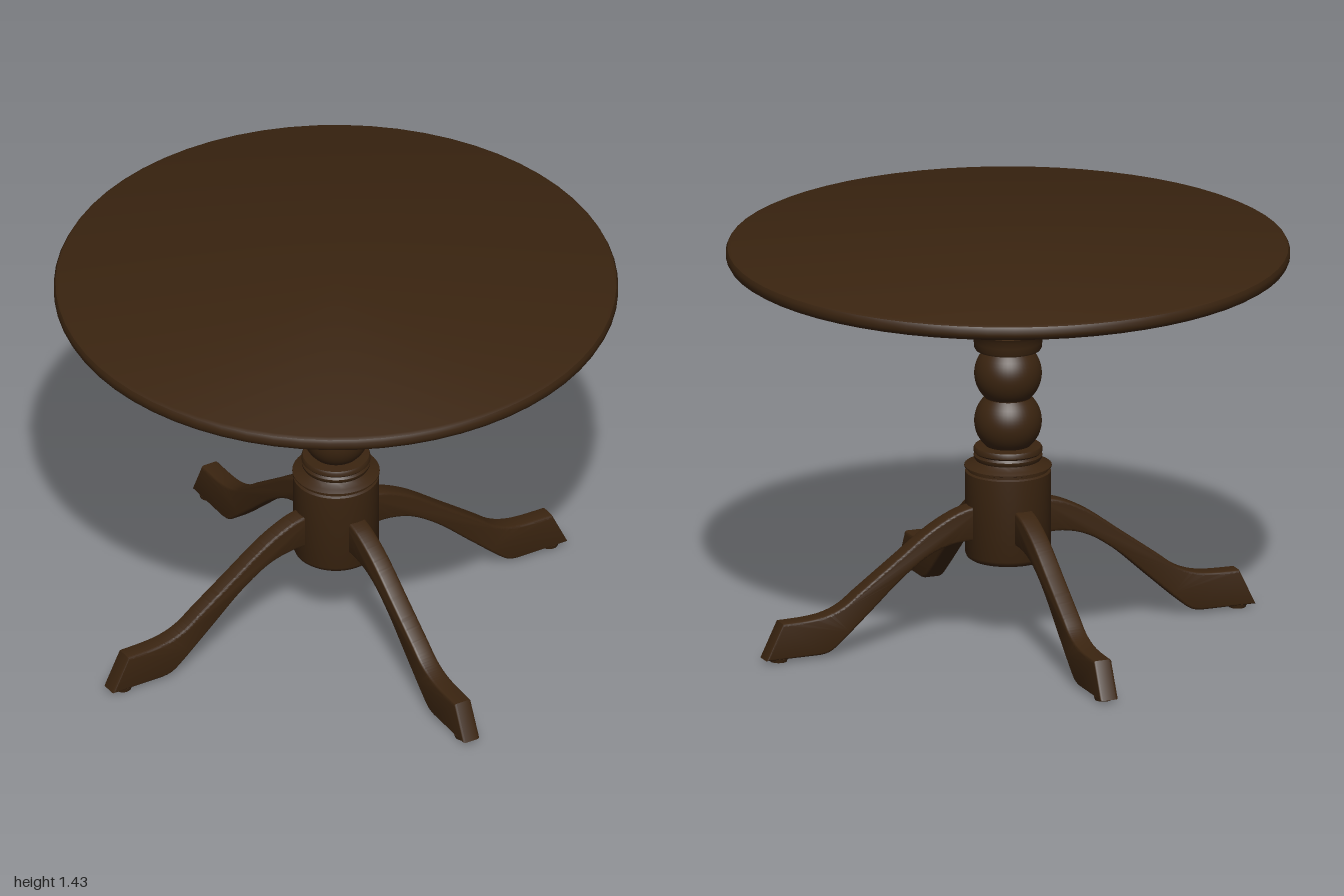
import * as THREE from 'three';
import { toCreasedNormals } from 'three/addons/utils/BufferGeometryUtils.js';

const wood = new THREE.MeshStandardMaterial({ color: 0x3a2410 });
wood.name = 'dark wood';

function lathe(name, points, segments) {
  const geo = new THREE.LatheGeometry(points.map(([x, y]) => new THREE.Vector2(x, y)), segments);
  const mesh = new THREE.Mesh(toCreasedNormals(geo, 0.6), wood);
  mesh.name = name;
  return mesh;
}

// Points on a ball's outline between two heights
function ball(radius, cy, y0, y1, steps = 14) {
  return Array.from({ length: steps + 1 }, (_, i) => {
    const y = y0 + ((y1 - y0) * i) / steps;
    return [Math.sqrt(radius * radius - (y - cy) ** 2), y];
  });
}

// Side outline of a leg: x runs outward from the pedestal
function legGeometry() {
  const v = ([x, y]) => new THREE.Vector2(x, y);
  const shape = new THREE.Shape();
  shape.moveTo(0.1, 0.365);
  shape.lineTo(0.1, 0.497);
  shape.splineThru([[0.14, 0.493], [0.21, 0.474], [0.31, 0.422], [0.44, 0.328],
    [0.575, 0.23], [0.64, 0.182], [0.7, 0.157], [0.77, 0.146], [0.875, 0.143]].map(v));
  shape.lineTo(0.938, 0.012);
  shape.lineTo(0.73, 0.012);
  shape.splineThru([[0.69, 0.022], [0.64, 0.06], [0.53, 0.158], [0.41, 0.265],
    [0.3, 0.338], [0.2, 0.366], [0.1, 0.365]].map(v));
  const bevel = 0.009, width = 0.068;
  const geo = new THREE.ExtrudeGeometry(shape, {
    depth: width - 2 * bevel, curveSegments: 24,
    bevelSize: bevel, bevelThickness: bevel, bevelOffset: -bevel, bevelSegments: 3,
  });
  geo.translate(0, 0, bevel - width / 2);
  return toCreasedNormals(geo, 0.6);
}

export function createModel() {
  const model = new THREE.Group();
  model.name = 'roundPedestalTable';

  // Round top with a softened rim
  model.add(lathe('tableTop', [[0, 1.378], [0.982, 1.378], [0.993, 1.385], [1, 1.398],
    [1, 1.416], [0.994, 1.428], [0.982, 1.434], [0, 1.434]], 64));

  // Mounting plate below the top
  model.add(lathe('mountingPlate', [[0, 1.345], [0.31, 1.345], [0.31, 1.373],
    [0.29, 1.373], [0.29, 1.38], [0, 1.38]], 48));

  // Turned column: barrel, collars, two balls and a capital
  model.add(lathe('pedestal', [
    [0, 0.287], [0.138, 0.287], [0.147, 0.294], [0.152, 0.306],
    [0.152, 0.605], [0.144, 0.61], [0.144, 0.618], [0.155, 0.622], [0.155, 0.627],
    [0.14, 0.635], [0.124, 0.642], [0.116, 0.648], [0.121, 0.656], [0.122, 0.664],
    [0.116, 0.672], [0.122, 0.678], [0.122, 0.69], [0.118, 0.697], [0.08, 0.7],
    ...ball(0.12, 0.789, 0.702, 0.876),
    ...ball(0.12, 0.965, 0.878, 1.052),
    [0.116, 1.055], [0.12, 1.062], [0.122, 1.085], [0.127, 1.11], [0.134, 1.122],
    [0.122, 1.126], [0.122, 1.132], [0.15, 1.134], [0.156, 1.142], [0.15, 1.15],
    [0.163, 1.154], [0.165, 1.164], [0.161, 1.174], [0.155, 1.18],
    [0.155, 1.328], [0.15, 1.338], [0.14, 1.346], [0, 1.346],
  ], 48));

  // Four legs with floor glides, and the plate screws above them
  const legGeo = legGeometry();
  const glideGeo = new THREE.CylinderGeometry(0.034, 0.03, 0.014, 20);
  const screwGeo = new THREE.CylinderGeometry(0.017, 0.011, 0.018, 12);
  for (let i = 0; i < 4; i++) {
    const quarter = new THREE.Group();
    quarter.name = 'legAssembly' + (i + 1);
    const leg = new THREE.Mesh(legGeo, wood);
    leg.name = 'leg';
    const glide = new THREE.Mesh(glideGeo, wood);
    glide.name = 'footGlide';
    glide.position.set(0.88, 0.007, 0);
    const screw = new THREE.Mesh(screwGeo, wood);
    screw.name = 'plateScrew';
    screw.position.set(0.26, 1.337, 0);
    quarter.add(leg, glide, screw);
    quarter.rotation.y = THREE.MathUtils.degToRad(-52 + 90 * i);
    model.add(quarter);
  }
  return model;
}
